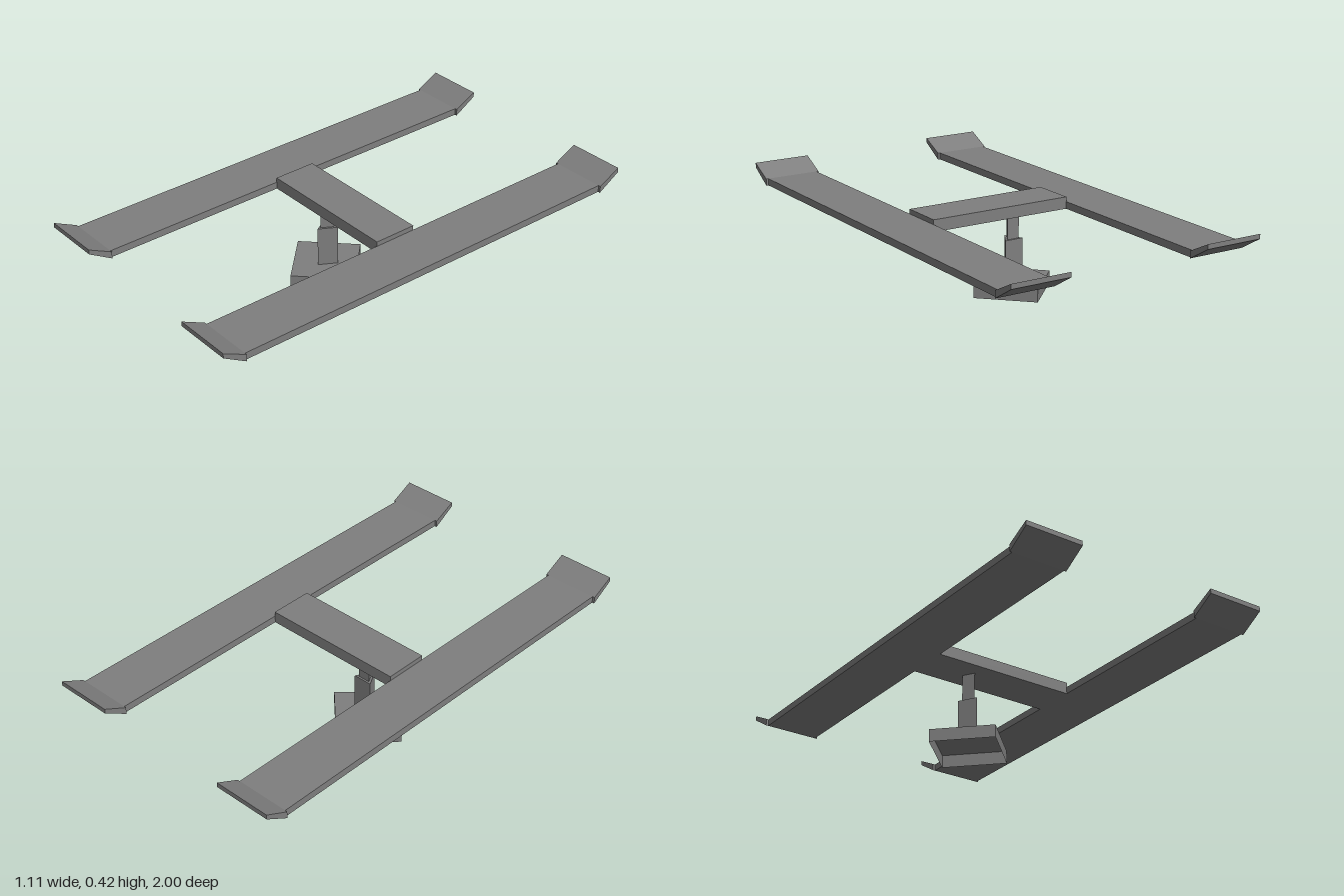
import * as THREE from 'three';

export function createModel() {
  const model = new THREE.Group();
  const grey = new THREE.MeshStandardMaterial({ color: 0x7e7e7e });
  grey.name = 'steelGrey';
  grey.flatShading = true;
  grey.side = THREE.DoubleSide;

  const add = (name, geometry, x, y, z) => {
    const mesh = new THREE.Mesh(geometry, grey);
    mesh.name = name;
    mesh.position.set(x, y, z);
    model.add(mesh);
    return mesh;
  };

  // Diamond foot: four walls and a top, hollow underneath
  add('footWalls', new THREE.CylinderGeometry(0.187, 0.187, 0.053, 4, 1, true), -0.113, 0.0265, 0);
  add('footTop', new THREE.CircleGeometry(0.187, 4).rotateX(-Math.PI / 2), -0.113, 0.053, 0);

  // Telescoping three-sided post, one corner facing forward
  add('lowerPost', new THREE.CylinderGeometry(0.0485, 0.0485, 0.173, 3), -0.106, 0.1395, 0);
  add('upperPost', new THREE.CylinderGeometry(0.032, 0.032, 0.115, 3), -0.106, 0.2825, 0);

  // Bar joining the two tracks
  add('crossBar', new THREE.BoxGeometry(0.63, 0.05, 0.186), 0, 0.365, 0);

  // Side profile of an upturned track end, u = distance from centre
  const profile = new THREE.Shape([
    new THREE.Vector2(0.9, 0.34),
    new THREE.Vector2(1.0, 0.4),
    new THREE.Vector2(1.0, 0.42),
    new THREE.Vector2(0.9, 0.37),
  ]);
  const rampWidth = 0.25;
  const ramp = new THREE.ExtrudeGeometry(profile, { depth: rampWidth, bevelEnabled: false });
  ramp.translate(0, 0, -rampWidth / 2);

  // Tracks with a wider ramp at each end
  for (const side of [-1, 1]) {
    const label = side > 0 ? 'left' : 'right';
    add(label + 'Track', new THREE.BoxGeometry(0.23, 0.03, 1.8), side * 0.429, 0.355, 0);
    for (const end of [-1, 1]) {
      const mesh = add(label + (end > 0 ? 'FrontRamp' : 'BackRamp'), ramp, side * 0.429, 0, 0);
      mesh.rotation.y = -end * Math.PI / 2;
    }
  }
  return model;
}
